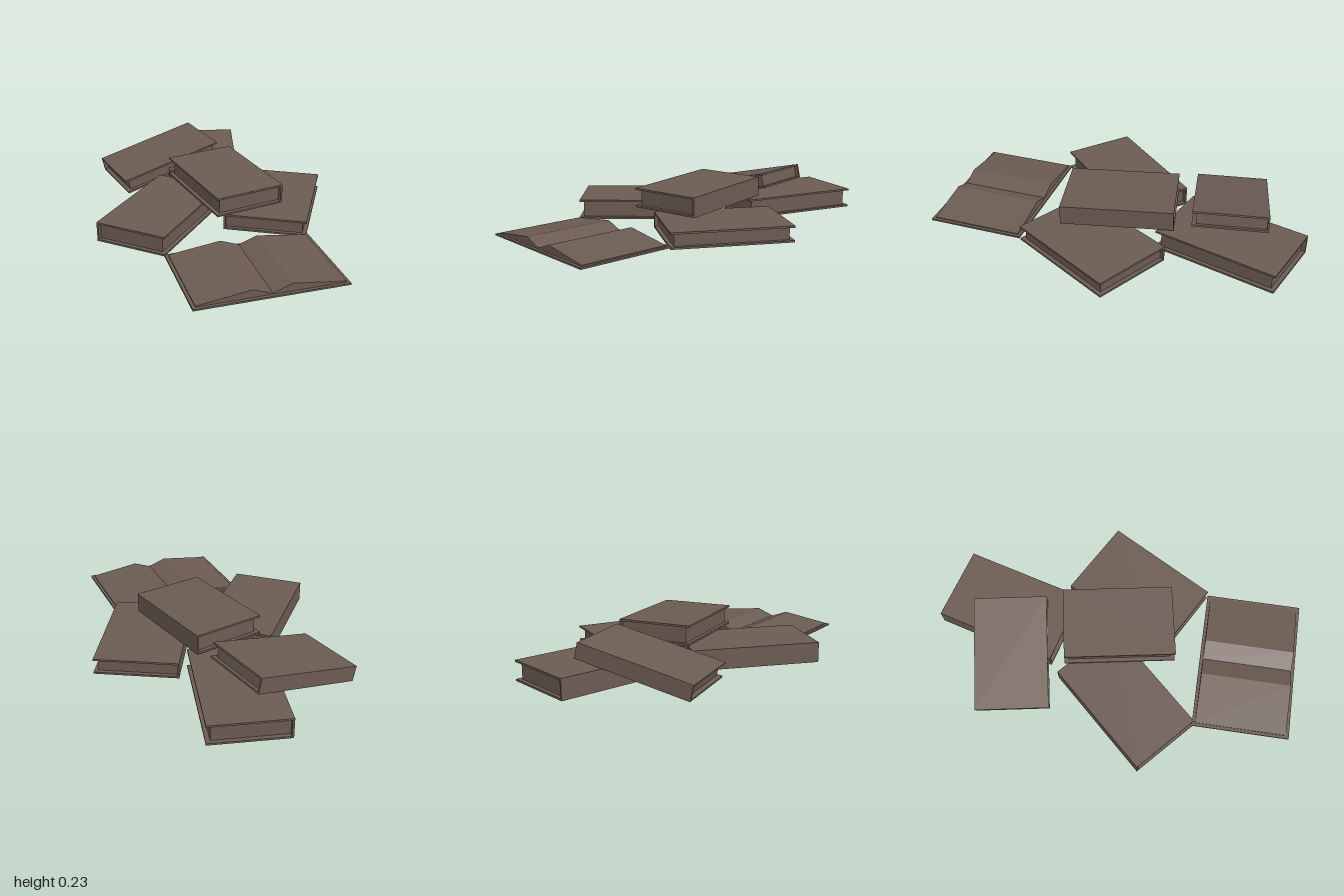
import * as THREE from 'three';

const material = new THREE.MeshStandardMaterial({ color: 0x6b5b52 });

function addPart(group, name, geometry, x = 0, y = 0, z = 0) {
  const mesh = new THREE.Mesh(geometry, material);
  mesh.name = name;
  mesh.position.set(x, y, z);
  group.add(mesh);
}

// Closed book: spine on local -x, pages set back from the other three edges
function closedBook({ name, width, length, height, position, turn, pitch = 0 }) {
  const board = 0.01, overhang = 0.022;
  const book = new THREE.Group();
  book.name = name;
  const inner = height - 2 * board;
  for (const side of [-1, 1]) {
    addPart(book, side > 0 ? 'topCover' : 'bottomCover',
      new THREE.BoxGeometry(width, board, length), 0, side * (height - board) / 2, 0);
  }
  addPart(book, 'spine', new THREE.BoxGeometry(board, inner, length), (board - width) / 2, 0, 0);
  addPart(book, 'pages',
    new THREE.BoxGeometry(width - board - overhang, inner, length - 2 * overhang),
    (board - overhang) / 2, 0, 0);
  book.position.set(...position);
  book.rotation.set(pitch, turn, 0, 'YXZ');
  return book;
}

// Open book lying flat: two page mounds meeting in a central valley
function openBook({ name, width, length, position, turn }) {
  const board = 0.009, inset = 0.017;
  const book = new THREE.Group();
  book.name = name;
  addPart(book, 'cover', new THREE.BoxGeometry(width, board, length), 0, board / 2, 0);
  const end = length / 2 - inset, peak = 0.097;
  const profile = new THREE.Shape([
    [-end, 0], [end, 0], [end, 0.005], [peak, 0.041], [0, 0.005], [-peak, 0.041], [-end, 0.005],
  ].map(([x, y]) => new THREE.Vector2(x, y)));
  const depth = width - 2 * inset;
  const pages = new THREE.ExtrudeGeometry(profile, { depth, bevelEnabled: false });
  pages.translate(0, 0, -depth / 2).rotateY(Math.PI / 2);
  addPart(book, 'pages', pages, 0, board, 0);
  book.position.set(...position);
  book.rotation.y = turn;
  return book;
}

export function createModel() {
  const model = new THREE.Group();
  model.name = 'bookPile';
  const closed = [
    { name: 'backRightBook', width: 0.4, length: 0.67, height: 0.106, position: [-0.61, 0.066, -0.33], turn: 0.987 },
    { name: 'backCentreBook', width: 0.44, length: 0.64, height: 0.086, position: [0.115, 0.043, -0.315], turn: 0.743 },
    { name: 'frontCentreBook', width: 0.392, length: 0.675, height: 0.106, position: [-0.075, 0.066, 0.3], turn: 0.512 },
    { name: 'topBook', width: 0.39, length: 0.595, height: 0.105, position: [-0.042, 0.174, -0.086], turn: -1.708, pitch: -0.025 },
    { name: 'leaningBook', width: 0.394, length: 0.605, height: 0.083, position: [-0.64, 0.125, -0.042], turn: -0.143, pitch: 0.225 },
  ];
  for (const spec of closed) model.add(closedBook(spec));
  model.add(openBook({ name: 'openBook', width: 0.525, length: 0.77, position: [0.626, 0.012, 0.215], turn: -0.322 }));
  return model;
}
